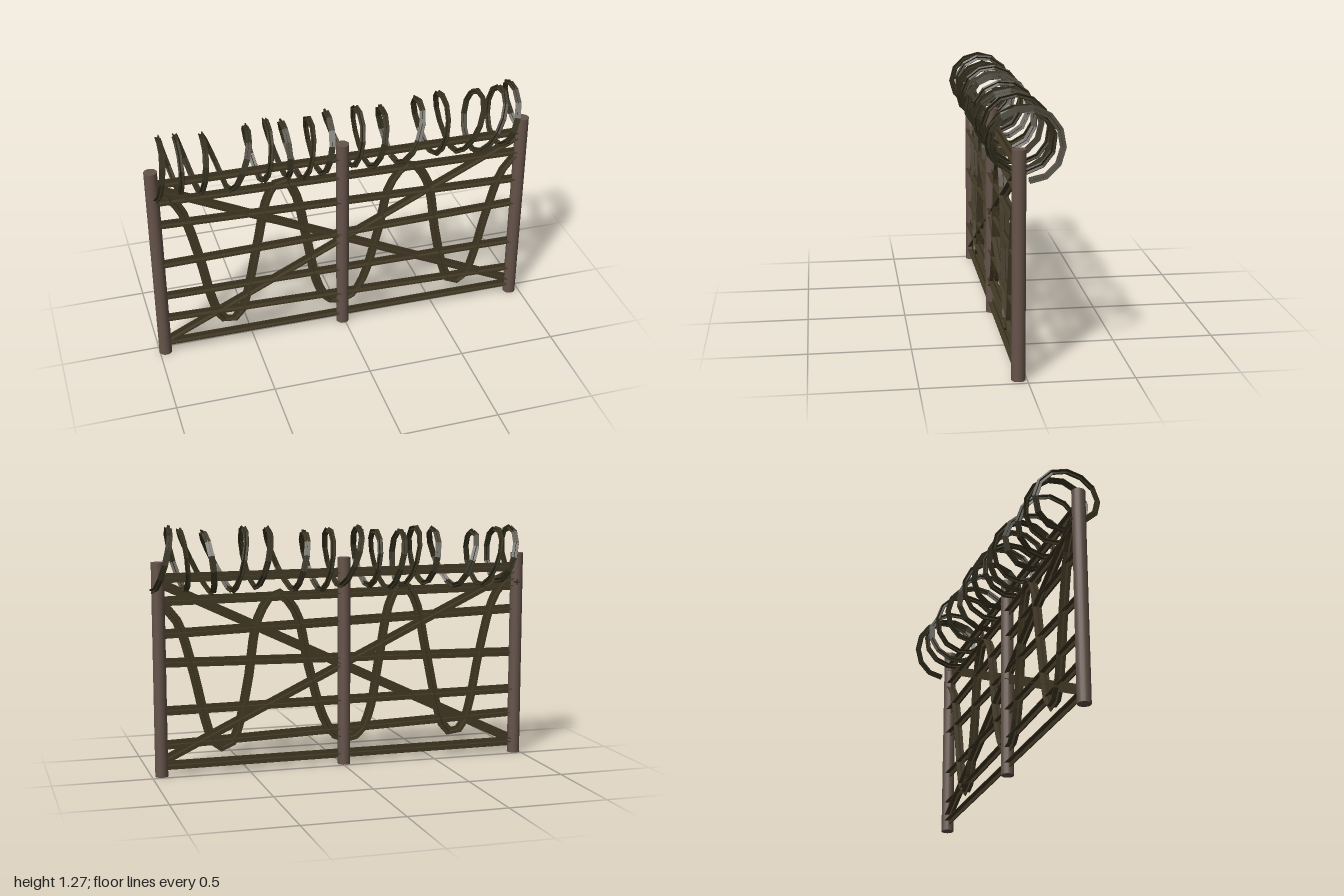
import * as THREE from 'three';

export function createModel() {
  const model = new THREE.Group();
  model.name = 'wireFence';
  const rust = new THREE.MeshStandardMaterial({ color: 0x65544a });
  rust.name = 'post brown';
  const wire = new THREE.MeshStandardMaterial({ color: 0x423925, flatShading: true });
  wire.name = 'wire olive';
  const coilMat = new THREE.MeshStandardMaterial({ color: 0x373220, flatShading: true });
  coilMat.name = 'coil dark olive';

  const add = (name, geometry, material) => {
    const mesh = new THREE.Mesh(geometry, material);
    mesh.name = name;
    model.add(mesh);
    return mesh;
  };

  // Wire made of two crossed thin strips, swept along a curve through points
  const strand = (name, points, size, steps, material) => {
    const h = size / 2, t = 0.002;
    const section = new THREE.Shape([
      [t, t], [t, h], [-t, h], [-t, t], [-h, t], [-h, -t],
      [-t, -t], [-t, -h], [t, -h], [t, -t], [h, -t], [h, t],
    ].map((p) => new THREE.Vector2(...p)));
    const extrudePath = new THREE.CatmullRomCurve3(points);
    extrudePath.arcLengthDivisions = 1500;
    add(name, new THREE.ExtrudeGeometry(section, { steps, extrudePath, bevelEnabled: false }), material);
  };
  const bar = (name, a, b) =>
    strand(name, [new THREE.Vector3(...a), new THREE.Vector3(...b)], 0.048, 1, wire);

  // Three round posts
  for (const x of [-0.97, -0.01, 0.95]) {
    add('post', new THREE.CylinderGeometry(0.033, 0.033, 1.085, 16), rust).position.set(x, 0.5425, 0.04);
  }

  // Uneven horizontal wires: left height, right height, left depth
  const rails = [
    [1.01, 1.005, 0.04], [0.91, 0.89, 0.04], [0.785, 0.725, 0.05], [0.55, 0.58, 0.05],
    [0.35, 0.335, 0.04], [0.22, 0.16, 0.05], [0.06, 0.055, 0.04],
  ];
  for (const [left, right, z] of rails) bar('railWire', [-0.96, left, z], [0.94, right, 0.04]);

  // Crossed wires
  bar('diagonalWire', [-0.96, 0.07, 0.04], [0.94, 0.98, 0.04]);
  bar('diagonalWire', [-0.96, 0.99, 0.04], [0.94, 0.08, 0.04]);

  // Wavy wire woven across the panel
  const wave = [
    [-0.95, 0.95], [-0.9, 0.93], [-0.84, 0.85], [-0.76, 0.55], [-0.71, 0.29], [-0.67, 0.17],
    [-0.62, 0.13], [-0.57, 0.16], [-0.53, 0.26], [-0.46, 0.58], [-0.39, 0.87], [-0.32, 0.94],
    [-0.26, 0.85], [-0.2, 0.55], [-0.15, 0.28], [-0.1, 0.17], [-0.03, 0.135], [0.04, 0.16],
    [0.1, 0.25], [0.18, 0.53], [0.25, 0.82], [0.35, 0.915], [0.44, 0.8], [0.5, 0.47],
    [0.55, 0.24], [0.59, 0.15], [0.635, 0.13], [0.68, 0.16], [0.72, 0.27], [0.785, 0.55],
    [0.86, 0.79], [0.94, 0.88],
  ].map(([x, y]) => new THREE.Vector3(x, y, 0.04));
  strand('wavyWire', wave, 0.048, 90, wire);

  // Irregular coil along the top: x at each bottom and top of its loops
  const turns = [
    -0.96, -0.91, -0.84, -0.83, -0.74, -0.7, -0.6, -0.48, -0.43, -0.38, -0.3, -0.3, -0.23, -0.165,
    -0.13, -0.075, 0.03, 0.085, 0.13, 0.21, 0.27, 0.4, 0.465, 0.525, 0.59, 0.73, 0.69, 0.845, 0.82,
    0.9, 0.985,
  ];
  const steps = 6;
  const coil = [];
  for (let i = 0; i <= (turns.length - 1) * steps; i++) {
    const k = Math.min(Math.floor(i / steps), turns.length - 2);
    // Easing keeps each half loop flat and leaning
    const ease = (1 - Math.cos((i / steps - k) * Math.PI)) / 2;
    const x = THREE.MathUtils.lerp(turns[k], turns[k + 1], ease);
    const angle = (i / steps) * Math.PI;
    const radius = 0.148 + 0.012 * Math.sin(i * 0.37) + 0.006 * x;
    coil.push(new THREE.Vector3(x, 1.083 + 0.012 * x - radius * Math.cos(angle), radius * Math.sin(angle)));
  }
  strand('razorCoil', coil, 0.03, coil.length, coilMat);

  return model;
}
